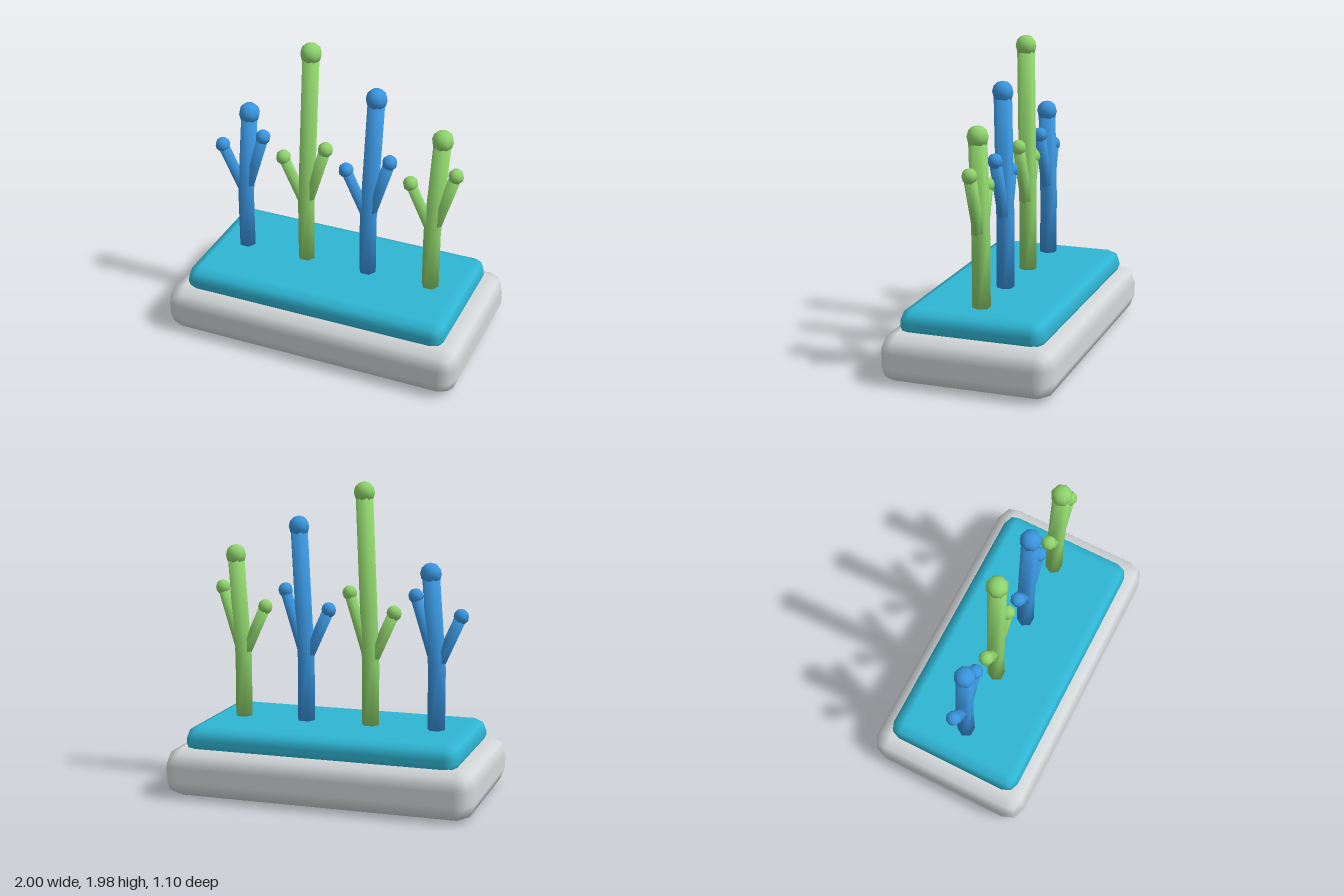
import * as THREE from 'three';
import { RoundedBoxGeometry } from 'three/addons/geometries/RoundedBoxGeometry.js';

const material = (name, color) => {
  const m = new THREE.MeshStandardMaterial({ color });
  m.name = name;
  return m;
};

// Six-sided rod standing on its base point; an optional middle ring makes a kink.
// Normals at the end rings lean outward so the ends shade softly.
function rodGeometry(radius, height, kink = height / 2, lean = 0) {
  const geo = new THREE.CylinderGeometry(radius, radius, 2, 6, 2, false, Math.PI / 6);
  const pos = geo.attributes.position, nor = geo.attributes.normal;
  const n = new THREE.Vector3();
  for (let i = 0; i < pos.count; i++) {
    const x = pos.getX(i), z = pos.getZ(i), level = Math.round(pos.getY(i));
    n.set(x / radius, level * 0.75, z / radius).normalize();
    nor.setXYZ(i, n.x, n.y, n.z);
    pos.setXYZ(i, x + (level > 0 ? lean : 0), level < 0 ? 0 : level > 0 ? height : kink, z);
  }
  return geo;
}

export function createModel() {
  const model = new THREE.Group();
  model.name = 'sproutPlanter';
  const grey = material('light grey', 0xd3d7d9);
  const teal = material('teal', 0x2fb5d3);
  const blue = material('blue', 0x3a96e0);
  const green = material('green', 0x8fd46c);

  const add = (parent, name, geo, mat, x, y, z) => {
    const mesh = new THREE.Mesh(geo, mat);
    mesh.name = name;
    mesh.position.set(x, y, z);
    parent.add(mesh);
    return mesh;
  };

  // Stacked rounded slabs
  add(model, 'base', new RoundedBoxGeometry(2, 0.31, 1.1, 1, 0.11), grey, 0, 0.155, 0);
  add(model, 'topSlab', new RoundedBoxGeometry(1.77, 0.18, 0.92, 1, 0.08), teal, 0, 0.35, 0);

  // Side branches shared by every stalk: tip offset from the fork
  const forkY = 0.83, stemBottom = 0.42, lean = 0.045;
  const fork = new THREE.Vector3(0, forkY, 0);
  const branches = [
    ['rightBranch', new THREE.Vector3(-0.147, 1.16, 0.015)],
    ['leftBranch', new THREE.Vector3(0.143, 1.275, 0.015)],
  ];
  const up = new THREE.Vector3(0, 1, 0);
  const headGeo = new THREE.SphereGeometry(0.069, 8, 6);
  const budGeo = new THREE.SphereGeometry(0.049, 8, 6);

  // Four stalks, alternating colours, each with its own head height
  [1.42, 1.91, 1.685, 1.49].forEach((headY, i) => {
    const mat = i % 2 ? green : blue;
    const stalk = new THREE.Group();
    stalk.name = 'stalk' + (i + 1);
    stalk.position.x = -0.645 + i * 0.43;
    model.add(stalk);

    const stem = rodGeometry(0.057, headY - stemBottom, forkY - stemBottom, lean);
    add(stalk, 'stem', stem, mat, 0, stemBottom, 0);
    add(stalk, 'head', headGeo, mat, lean, headY, 0);

    for (const [name, tip] of branches) {
      const dir = tip.clone().sub(fork);
      const rod = add(stalk, name, rodGeometry(0.038, dir.length()), mat, 0, forkY, 0);
      rod.quaternion.setFromUnitVectors(up, dir.normalize());
      add(stalk, name + 'Bud', budGeo, mat, tip.x, tip.y, tip.z);
    }
  });
  return model;
}
